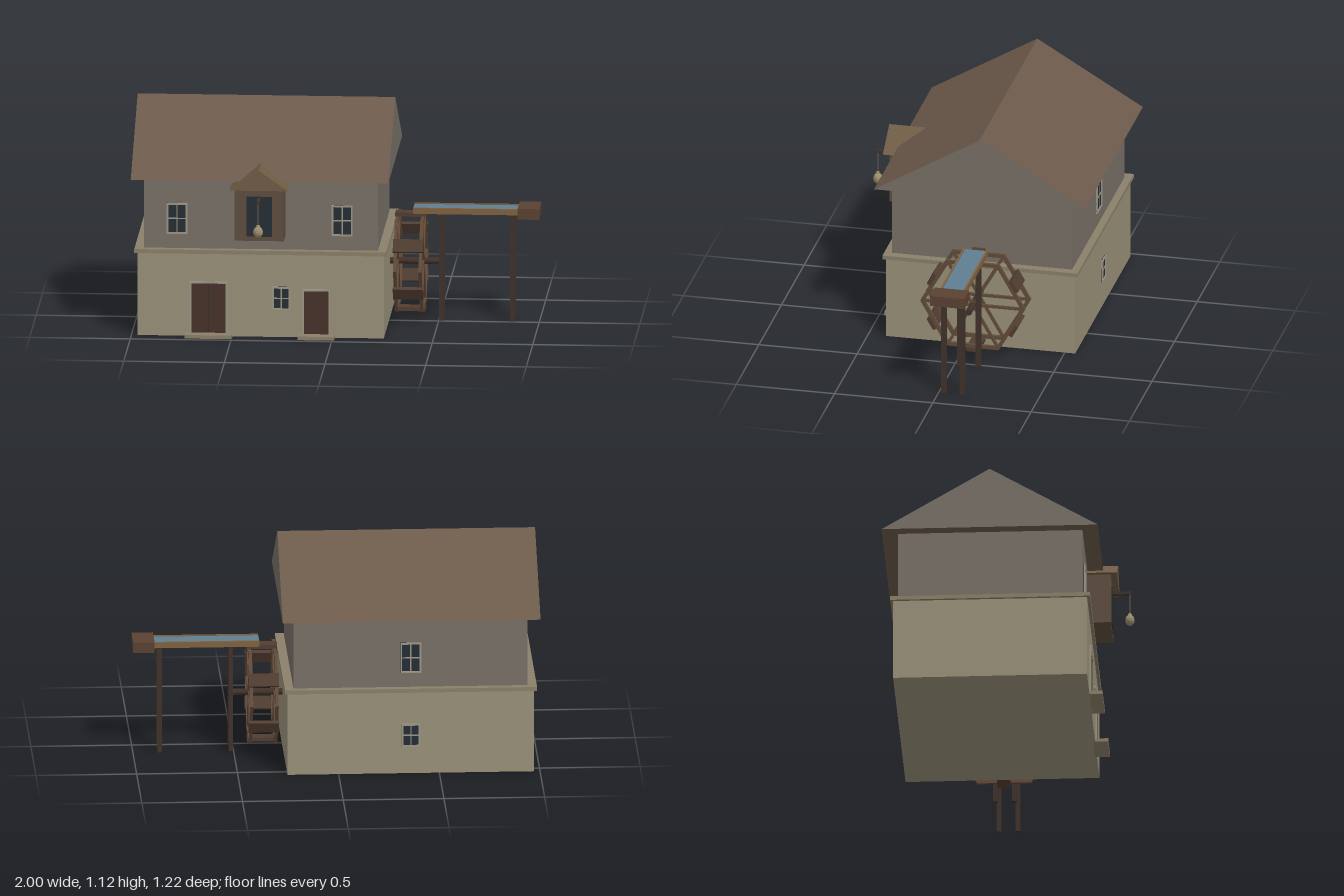
import * as THREE from 'three';

const mat = (color) => new THREE.MeshStandardMaterial({ color, flatShading: true });
const M = {
  stone: mat(0x989078), band: mat(0x8a8069), plaster: mat(0x777067), roof: mat(0x6c5a4b),
  dormer: mat(0x5f4d3f), dormerRoof: mat(0x6f5c45), door: mat(0x46322a), frame: mat(0x9c9684),
  glass: mat(0x252d35), dark: mat(0x40312a), wheel: mat(0x614a39), paddle: mat(0x513d31),
  trough: mat(0x80623f), head: mat(0x5a4232), water: mat(0x5f7e92), sack: mat(0x998d6c), rope: mat(0x6a6050),
};

function add(parent, name, geometry, material) {
  const mesh = new THREE.Mesh(geometry, material);
  mesh.name = name;
  parent.add(mesh);
  return mesh;
}

// Box given by its extents on each axis
function box(parent, name, material, [x0, x1], [y0, y1], [z0, z1]) {
  const m = add(parent, name, new THREE.BoxGeometry(x1 - x0, y1 - y0, z1 - z0), material);
  m.position.set((x0 + x1) / 2, (y0 + y1) / 2, (z0 + z1) / 2);
  return m;
}

function group(parent, name) {
  const g = new THREE.Group();
  g.name = name;
  parent.add(g);
  return g;
}

// Triangular roof block along z: end caps take the first material, slopes the second
function gable(parent, name, halfWidth, rise, length, materials) {
  const s = new THREE.Shape([
    new THREE.Vector2(-halfWidth, 0), new THREE.Vector2(halfWidth, 0), new THREE.Vector2(0, rise),
  ]);
  return add(parent, name, new THREE.ExtrudeGeometry(s, { depth: length, bevelEnabled: false }), materials);
}

// Window on the plane z = 0, facing +z
function makeWindow(parent, w, h) {
  const g = group(parent, 'window');
  const t = 0.009, z = [-0.005, 0.008];
  box(g, 'glass', M.glass, [-w / 2, w / 2], [-h / 2, h / 2], [-0.005, 0.003]);
  for (const s of [-1, 1]) {
    box(g, 'frameSide', M.frame, [s * (w - t) / 2 - t / 2, s * (w - t) / 2 + t / 2], [-h / 2, h / 2], z);
    box(g, 'frameRail', M.frame, [-w / 2, w / 2], [s * (h - t) / 2 - t / 2, s * (h - t) / 2 + t / 2], z);
  }
  box(g, 'mullion', M.frame, [-0.003, 0.003], [-h / 2, h / 2], [-0.005, 0.006]);
  box(g, 'glazingBar', M.frame, [-w / 2, w / 2], [-0.003, 0.003], [-0.005, 0.006]);
  return g;
}

// Double door with frame and doorstep on the front wall
function makeDoor(parent, x, w, h) {
  const g = group(parent, 'door');
  g.position.set(x, 0, 0.41);
  const t = 0.01, z = [-0.005, 0.008];
  for (const s of [-1, 1]) {
    const leaf = box(g, 'doorLeaf', M.door, [0.001, w / 2 - t], [0.018, h - t], [-0.005, 0.005]);
    leaf.position.x *= s;
    box(g, 'doorJamb', M.frame, [s * (w - t) / 2 - t / 2, s * (w - t) / 2 + t / 2], [0, h], z);
  }
  box(g, 'doorGap', M.glass, [-0.001, 0.001], [0.018, h - t], [-0.005, 0.003]);
  box(g, 'lintel', M.frame, [-w / 2, w / 2], [h - t, h], z);
  box(g, 'doorstep', M.band, [-w / 2 - 0.02, w / 2 + 0.02], [0, 0.018], [-0.01, 0.065]);
}

function makeDormer(parent) {
  const g = group(parent, 'dormer');
  g.position.x = -0.359;
  box(g, 'dormerWalls', M.dormer, [-0.122, 0.122], [0.508, 0.77], [0.3, 0.504]);
  gable(g, 'dormerRoof', 0.145, 0.103, 0.26, [M.dormerRoof, M.dormerRoof]).position.set(0, 0.769, 0.274);
  box(g, 'loadingHatch', M.glass, [-0.064, 0.064], [0.53, 0.733], [0.49, 0.507]);

  // Hoist beam with rope and sack
  box(g, 'hoistBeam', M.dark, [-0.008, 0.008], [0.712, 0.728], [0.48, 0.597]);
  box(g, 'rope', M.rope, [-0.002, 0.002], [0.6, 0.715], [0.59, 0.594]);
  const sack = add(g, 'sack', new THREE.SphereGeometry(0.025, 10, 8), M.sack);
  sack.scale.set(1, 1.15, 0.95);
  sack.position.set(0, 0.573, 0.592);
  add(g, 'sackNeck', new THREE.CylinderGeometry(0.008, 0.012, 0.016, 8), M.sack).position.set(0, 0.601, 0.592);
}

function makeWheel(parent) {
  const g = group(parent, 'waterWheel');
  g.position.set(0, 0.289, -0.071);
  const hexagon = (r) => Array.from({ length: 6 }, (_, i) =>
    new THREE.Vector2(r * Math.cos(i * Math.PI / 3), r * Math.sin(i * Math.PI / 3)));
  const ring = new THREE.Shape(hexagon(0.267));
  ring.holes.push(new THREE.Path(hexagon(0.246)));
  const rimGeo = new THREE.ExtrudeGeometry(ring, { depth: 0.016, bevelEnabled: false })
    .translate(0, 0, -0.008).rotateY(Math.PI / 2);

  for (const x of [0.294, 0.42]) {
    add(g, 'rim', rimGeo, M.wheel).position.x = x;
    for (let i = 0; i < 3; i++) {
      const spoke = add(g, 'spoke', new THREE.BoxGeometry(0.012, 0.014, 0.5), M.wheel);
      spoke.position.x = x;
      spoke.rotation.x = i * Math.PI / 3;
    }
  }
  for (let i = 0; i < 6; i++) {
    const arm = group(g, 'paddleArm');
    arm.rotation.x = i * Math.PI / 3;
    box(arm, 'paddle', M.paddle, [0.282, 0.432], [0.23, 0.25], [-0.033, 0.033]);
  }
  const axle = add(g, 'axle', new THREE.CylinderGeometry(0.017, 0.017, 0.277, 8), M.dark);
  axle.rotation.z = Math.PI / 2;
  axle.position.x = 0.38;
}

function makeFlume(parent) {
  const g = group(parent, 'flume');
  g.position.z = -0.073;
  const X = [0.372, 0.895];
  box(g, 'troughFloor', M.trough, X, [0.54, 0.55], [-0.062, 0.062]);
  for (const s of [-1, 1])
    box(g, 'troughSide', M.trough, X, [0.54, 0.57], [s * 0.058 - 0.005, s * 0.058 + 0.005]);
  box(g, 'water', M.water, X, [0.549, 0.565], [-0.054, 0.054]);
  box(g, 'headBox', M.head, [0.893, 1], [0.524, 0.578], [-0.087, 0.087]);
  for (const x of [0.513, 0.866])
    for (const z of [-0.047, 0.047])
      box(g, 'post', M.dark, [x - 0.011, x + 0.011], [0, 0.542], [z - 0.012, z + 0.012]);
}

export function createModel() {
  const model = new THREE.Group();
  model.name = 'watermill';

  // House body
  box(model, 'lowerStorey', M.stone, [-0.97, 0.254], [0, 0.421], [-0.553, 0.41]);
  box(model, 'stringCourse', M.band, [-0.985, 0.267], [0.42, 0.44], [-0.567, 0.425]);
  box(model, 'upperStorey', M.plaster, [-0.94, 0.223], [0.439, 0.803], [-0.53, 0.386]);
  const roof = gable(model, 'roof', 0.537, 0.318, 1.28, [M.plaster, M.roof]);
  roof.rotation.y = Math.PI / 2;
  roof.position.set(-1, 0.801, -0.072);

  // Openings
  makeDoor(model, -0.617, 0.19, 0.278);
  makeDoor(model, -0.08, 0.142, 0.246);
  makeWindow(model, 0.092, 0.118).position.set(-0.255, 0.197, 0.41);
  for (const x of [-0.775, 0.046]) makeWindow(model, 0.104, 0.156).position.set(x, 0.591, 0.386);
  for (const [w, h, y, z] of [[0.104, 0.156, 0.591, -0.53], [0.092, 0.118, 0.197, -0.553]]) {
    const win = makeWindow(model, w, h);
    win.position.set(-0.359, y, z);
    win.rotation.y = Math.PI;
  }

  makeDormer(model);
  makeWheel(model);
  makeFlume(model);
  return model;
}
